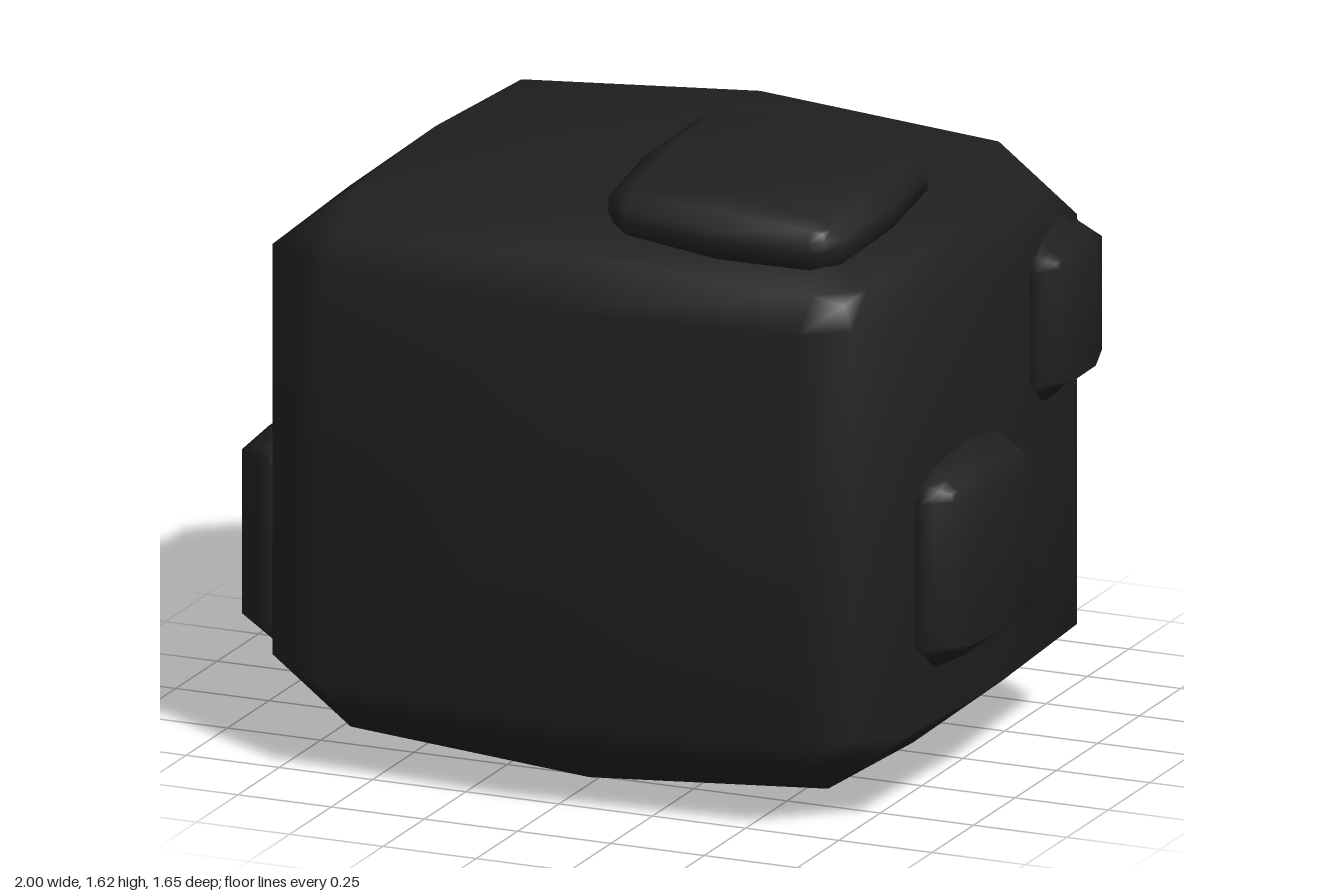
import * as THREE from 'three';
import { mergeVertices } from 'three/addons/utils/BufferGeometryUtils.js';

// Chamfered, slightly bulging block: half sizes, chamfer width, bulge drop along each axis
function bulgedBlock(half, chamfer, drop) {
  const geo = new THREE.BoxGeometry(4, 4, 4, 4, 4, 4);
  geo.deleteAttribute('uv');
  geo.deleteAttribute('normal');
  const pos = geo.attributes.position;
  for (let i = 0; i < pos.count; i++) {
    const g = [pos.getX(i), pos.getY(i), pos.getZ(i)].map(Math.round);
    const t = g.map((v) => Math.max(-1, Math.min(1, v)));
    const out = [0, 0, 0];
    const faces = [0, 1, 2].filter((a) => Math.abs(g[a]) === 2);
    // Edge and corner points lie midway between the faces they join
    for (const a of faces) {
      for (let b = 0; b < 3; b++) {
        if (a === b) {
          let h = half[a];
          for (let c = 0; c < 3; c++) if (c !== a) h -= drop[c] * t[c] * t[c];
          out[b] += (t[b] * h) / faces.length;
        } else {
          out[b] += (t[b] * (half[b] - chamfer)) / faces.length;
        }
      }
    }
    pos.setXYZ(i, ...out);
  }
  const smooth = mergeVertices(geo, 1e-4);
  smooth.computeVertexNormals();
  return smooth;
}

export function createModel() {
  const group = new THREE.Group();
  const charcoal = new THREE.MeshStandardMaterial({ color: 0x1f1f1f });
  charcoal.name = 'charcoal';

  function add(name, centre, half, chamfer, drop, rotation = [0, 0, 0]) {
    const mesh = new THREE.Mesh(bulgedBlock(half, chamfer, drop), charcoal);
    mesh.name = name;
    mesh.position.set(...centre);
    mesh.rotation.set(...rotation);
    group.add(mesh);
  }

  // Main lump
  add('body', [0.01, 0.76, 0.075], [0.875, 0.76, 0.75], 0.235, [0.05, 0, 0.025]);

  // Smaller lumps sunk into its faces
  const d = [0.025, 0, 0.02];
  add('topLump', [0.38, 1.5, 0.345], [0.335, 0.12, 0.345], 0.09, d, [0.09, 0, -0.06]);
  add('leftLowerLump', [0.88, 0.635, 0.28], [0.12, 0.275, 0.277], 0.09, d);
  add('leftUpperLump', [0.86, 1.085, -0.315], [0.1, 0.225, 0.215], 0.08, d, [0, 0.16, 0]);
  add('rightLump', [-0.87, 0.495, 0.25], [0.13, 0.305, 0.303], 0.095, d);
  add('backLump', [-0.165, 0.64, -0.68], [0.375, 0.35, 0.148], 0.1, d);

  return group;
}
